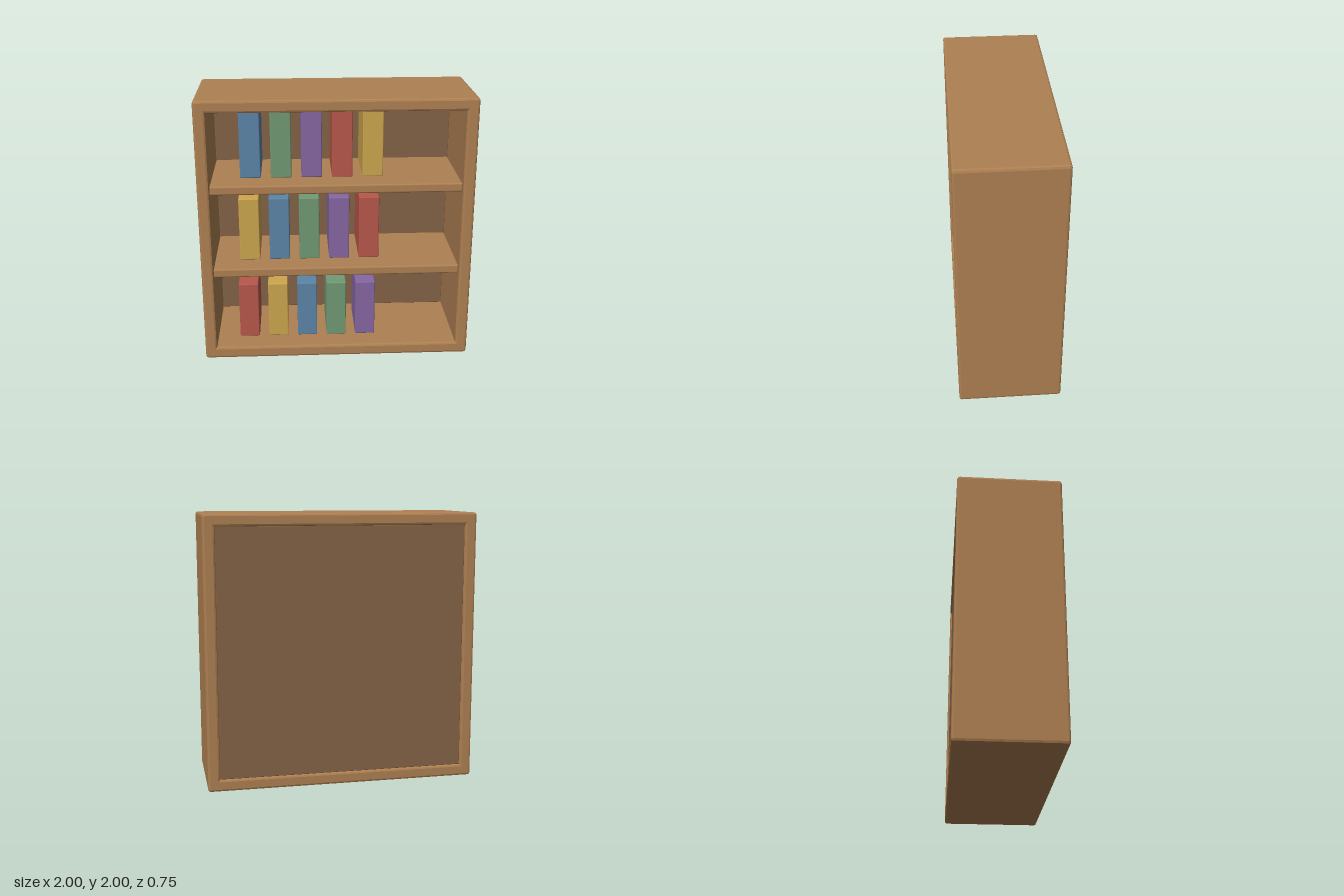
import * as THREE from 'three';
import { RoundedBoxGeometry } from 'three/addons/geometries/RoundedBoxGeometry.js';

const material = (name, color) => new THREE.MeshStandardMaterial({ name, color });

// Rounded rectangle outline, centred on x = 0 and y = 1
function roundedRect(target, half, r) {
  const a = -half, b = half, c = 1 - half, d = 1 + half;
  target.moveTo(a + r, c);
  target.lineTo(b - r, c);
  target.quadraticCurveTo(b, c, b, c + r);
  target.lineTo(b, d - r);
  target.quadraticCurveTo(b, d, b - r, d);
  target.lineTo(a + r, d);
  target.quadraticCurveTo(a, d, a, d - r);
  target.lineTo(a, c + r);
  target.quadraticCurveTo(a, c, a + r, c);
  return target;
}

export function createModel() {
  const group = new THREE.Group();
  group.name = 'bookcase';
  const wood = material('wood', 0xae8052);
  const darkWood = material('darkWood', 0x846347);
  const bookColors = [
    material('red', 0xb8574b),
    material('yellow', 0xcda64e),
    material('blue', 0x5c85a8),
    material('green', 0x719a74),
    material('purple', 0x8567a2),
  ];

  function block(name, mat, size, position, radius) {
    const mesh = new THREE.Mesh(new RoundedBoxGeometry(...size, 2, radius), mat);
    mesh.position.set(...position);
    mesh.name = name;
    group.add(mesh);
  }

  // Outer frame, open at front and back, with softened edges
  const bevel = 0.016, depth = 0.75;
  const outline = roundedRect(new THREE.Shape(), 1 - bevel, 0.006);
  const hole = new THREE.Path();
  const h = 0.912 + bevel;
  hole.moveTo(-h, 1 - h);
  hole.lineTo(-h, 1 + h);
  hole.lineTo(h, 1 + h);
  hole.lineTo(h, 1 - h);
  hole.closePath();
  outline.holes.push(hole);
  const frameGeometry = new THREE.ExtrudeGeometry(outline, {
    depth: depth - 2 * bevel,
    bevelEnabled: true,
    bevelThickness: bevel,
    bevelSize: bevel,
    bevelSegments: 2,
    curveSegments: 2,
  });
  frameGeometry.translate(0, 0, -depth / 2 + bevel);
  const frame = new THREE.Mesh(frameGeometry, wood);
  frame.name = 'frame';
  group.add(frame);

  // Back panel, slightly inset
  block('backPanel', darkWood, [1.825, 1.825, 0.035], [0, 1, -0.3425], 0.004);

  // Shelves
  for (const y of [0.692, 1.337]) {
    block('shelf', wood, [1.825, 0.066, 0.67], [0, y, 0.01], 0.012);
  }

  // Books: each row steps the colour order by one
  const rows = [
    { x: -0.666, bottom: 0.104, height: 0.441 },
    { x: -0.644, bottom: 0.749, height: 0.484 },
    { x: -0.622, bottom: 1.393, height: 0.53 },
  ];
  rows.forEach(({ x, bottom, height }, row) => {
    for (let i = 0; i < 5; i++) {
      const mat = bookColors[(i + row) % 5];
      block(`${mat.name}Book`, mat, [0.15, height, 0.45],
        [x + i * 0.2225, bottom + height / 2, 0], 0.008);
    }
  });

  return group;
}
